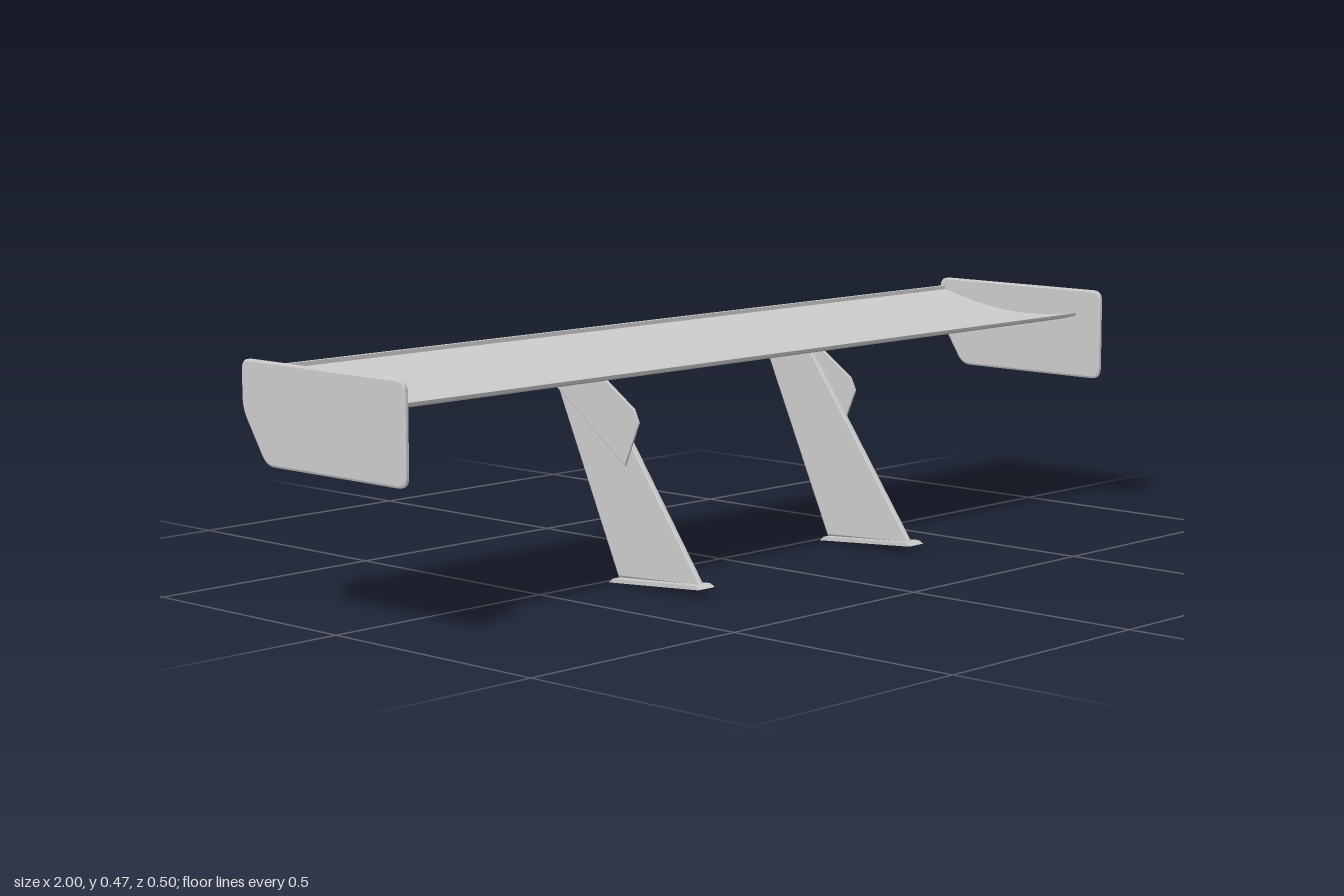
import * as THREE from 'three';
import { toCreasedNormals } from 'three/addons/utils/BufferGeometryUtils.js';

const material = new THREE.MeshStandardMaterial({ color: 0xcccccc });

// Closed side-view outline from [z, y] points, corners optionally rounded
function outline(points, radius = 0) {
  const p = points.map(([z, y]) => new THREE.Vector2(z, y));
  if (!radius) return new THREE.Shape(p);
  const shape = new THREE.Shape();
  p.forEach((c, i) => {
    const a = p[(i + p.length - 1) % p.length], b = p[(i + 1) % p.length];
    const s = a.clone().sub(c).setLength(radius).add(c);
    const e = b.clone().sub(c).setLength(radius).add(c);
    if (i === 0) shape.moveTo(s.x, s.y);
    else shape.lineTo(s.x, s.y);
    shape.quadraticCurveTo(c.x, c.y, e.x, e.y);
  });
  shape.closePath();
  return shape;
}

// Extrude a side-view outline across x, centred at x, with chamfered rims
function slab(name, shape, width, x = 0, bevel = 0, rim = 0.002) {
  const depth = width - (bevel ? 2 * rim : 0);
  let g = new THREE.ExtrudeGeometry(shape, {
    depth, curveSegments: 8, bevelEnabled: bevel > 0, bevelSegments: 1,
    bevelSize: bevel, bevelThickness: rim, bevelOffset: -bevel,
  });
  g.translate(0, 0, -depth / 2);
  g.rotateY(-Math.PI / 2);
  g.translate(x, 0, 0);
  g = toCreasedNormals(g, 0.4);
  const mesh = new THREE.Mesh(g, material);
  mesh.name = name;
  return mesh;
}

const curve = (pts, n) => new THREE.SplineCurve(pts.map(([z, y]) => new THREE.Vector2(z, y)))
  .getPoints(n).map((v) => [v.x, v.y]);

export function createModel() {
  const model = new THREE.Group();
  model.name = 'rearWing';

  // Cambered blade with a hollow top and a bellied underside
  const top = curve([[0.13, 0.422], [0.06, 0.414], [-0.03, 0.412], [-0.12, 0.422], [-0.19, 0.437], [-0.236, 0.448]], 20);
  const bottom = curve([[-0.236, 0.43], [-0.17, 0.412], [-0.09, 0.4], [-0.01, 0.397], [0.07, 0.403], [0.128, 0.416]], 20);
  model.add(slab('wingBlade', outline([...top, ...bottom]), 1.984));

  // Upright lip along the trailing edge
  model.add(slab('trailingLip', outline([[-0.236, 0.425], [-0.236, 0.456], [-0.245, 0.456], [-0.245, 0.425]]), 1.984));

  const plate = outline([[0.193, 0.283], [0.193, 0.474], [-0.251, 0.474], [-0.251, 0.382], [-0.186, 0.283]], 0.022);
  const strut = outline([[0.24, 0.02], [-0.035, 0.4], [-0.16, 0.4], [0.02, 0.008]]);
  const bracket = outline([[0.045, 0.229], [0.082, 0.315], [0.07, 0.34], [-0.02, 0.4], [-0.15, 0.4], [-0.145, 0.368]]);
  const foot = outline([[0.252, 0.018], [0.24, 0.024], [0.022, 0.009], [0.012, 0], [0.02, 0.001], [0.25, 0.017]]);
  const saddle = outline([[-0.02, 0.391], [-0.02, 0.4], [-0.165, 0.414], [-0.165, 0.402], [-0.1, 0.392]]);

  for (const side of [1, -1]) {
    const name = side > 0 ? 'left' : 'right';
    model.add(slab(name + 'EndPlate', plate, 0.01, side * 0.995, 0.004));

    // Swept support with its foot, side bracket and saddle under the blade
    const support = new THREE.Group();
    support.name = name + 'Support';
    support.add(
      slab('strut', strut, 0.012, side * 0.305, 0.005, 0.003),
      slab('bracket', bracket, 0.006, side * 0.314, 0.002, 0.001),
      slab('foot', foot, 0.042, side * 0.307),
      slab('saddle', saddle, 0.05, side * 0.307),
    );
    model.add(support);
  }
  return model;
}
